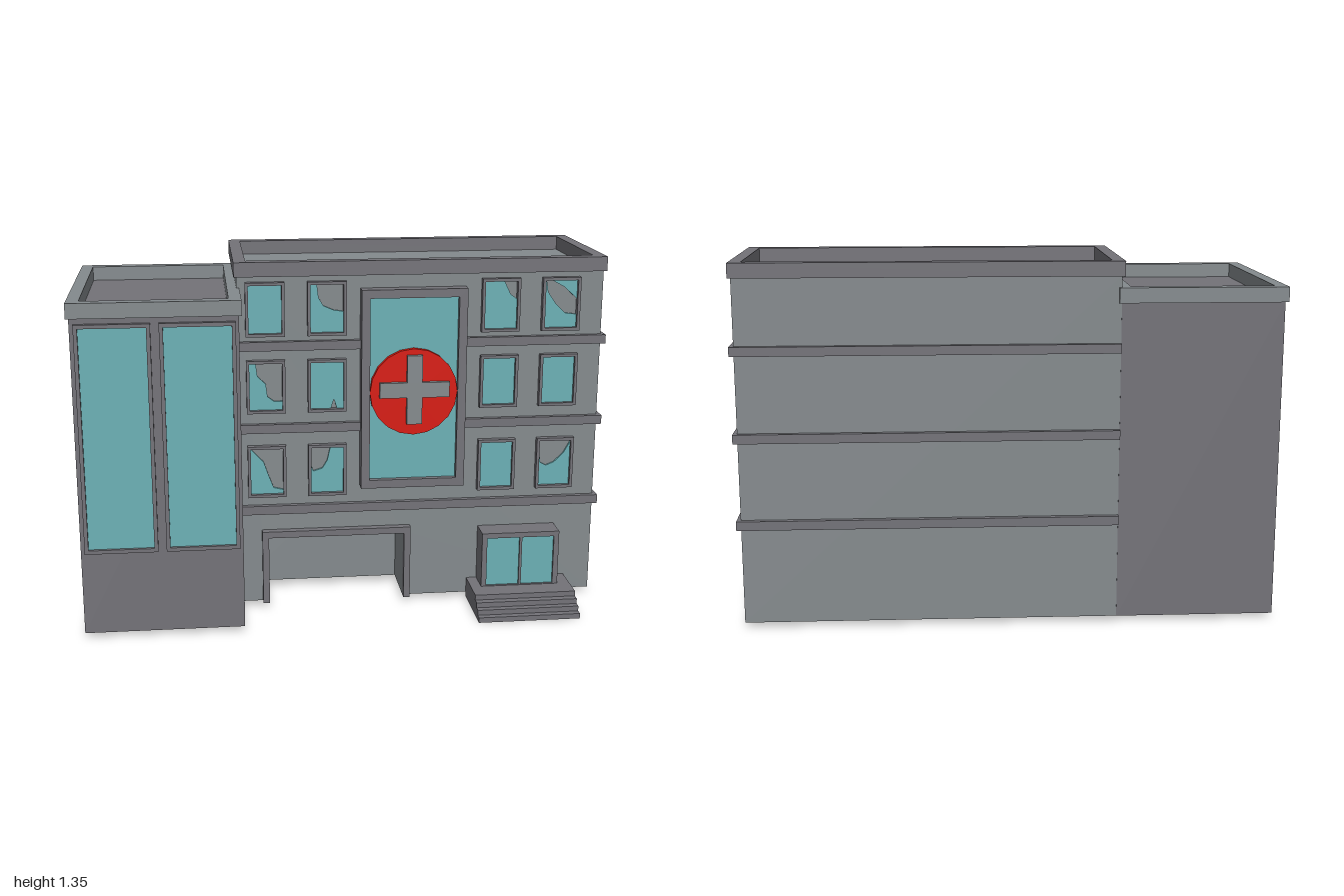
import * as THREE from 'three';

const mat = (color) => new THREE.MeshStandardMaterial({ color, flatShading: true });

export function createModel() {
  const model = new THREE.Group();
  model.name = 'clinicBuilding';
  const light = mat(0x848a8d), dark = mat(0x737278), glass = mat(0x6bb0b5), red = mat(0xd8170c);

  const add = (name, geometry, material, parent = model) => {
    const mesh = new THREE.Mesh(geometry, material);
    mesh.name = name;
    parent.add(mesh);
    return mesh;
  };
  // Box given by its lower and upper limits
  const box = (name, x0, x1, y0, y1, z0, z1, material, parent) =>
    add(name, new THREE.BoxGeometry(x1 - x0, y1 - y0, z1 - z0)
      .translate((x0 + x1) / 2, (y0 + y1) / 2, (z0 + z1) / 2), material, parent);
  const polygon = (pts) => new THREE.Shape(pts.map(([x, y]) => new THREE.Vector2(x, y)));
  const rect = (x0, x1, y0, y1) => polygon([[x0, y0], [x1, y0], [x1, y1], [x0, y1]]);
  const extrude = (shape, depth) => new THREE.ExtrudeGeometry(shape, { depth, bevelEnabled: false });
  // Upright rectangular frame with an open middle
  const frame = (name, x0, x1, y0, y1, z0, z1, t, material, parent) => {
    const shape = rect(x0, x1, y0, y1);
    shape.holes.push(rect(x0 + t, x1 - t, y0 + t, y1 - t));
    return add(name, extrude(shape, z1 - z0).translate(0, 0, z0), material, parent);
  };
  // Flat roof edge running around a sunken roof
  const parapet = (name, x0, x1, z0, z1, y0, y1, t, material) => {
    const shape = rect(x0, x1, -z1, -z0);
    shape.holes.push(rect(x0 + t, x1 - t, -z1 + t, -z0 - t));
    add(name, extrude(shape, y1 - y0).rotateX(-Math.PI / 2).translate(0, y0, 0), material);
  };

  // Main block: solid rear, front part with the garage bay cut out
  const front = 0.175, bayBack = -0.03;
  box('mainBlockRear', -0.4, 0.98, 0.02, 1.297, -0.41, bayBack, light);
  add('mainBlockFront', extrude(polygon([
    [-0.4, 0.02], [-0.295, 0.02], [-0.295, 0.287], [0.23, 0.287], [0.23, 0.02],
    [0.98, 0.02], [0.98, 1.297], [-0.4, 1.297],
  ]), front - bayBack).translate(0, 0, bayBack), light);
  parapet('mainParapet', -0.41, 0.99, -0.425, 0.187, 1.296, 1.35, 0.045, dark);
  for (const y of [0.38, 0.703, 1.02]) {
    box('floorBand', -0.4, 0.995, y, y + 0.034, -0.43, 0.195, dark);
  }

  // Side wing
  box('wing', -0.99, -0.4, 0.02, 1.201, -0.411, 0.414, dark);
  parapet('wingParapet', -1, -0.39, -0.426, 0.424, 1.2, 1.255, 0.045, light);
  for (const [x0, x1] of [[-0.975, -0.71], [-0.68, -0.412]]) {
    frame('wingWindowFrame', x0, x1, 0.335, 1.18, 0.412, 0.432, 0.014, dark);
    box('wingWindowGlass', x0 + 0.014, x1 - 0.014, 0.349, 1.166, 0.412, 0.42, glass);
  }

  // Small windows; broken panes are outlines in unit coordinates
  const whole = [[[0, 0], [1, 0], [1, 1], [0, 1]]];
  const panes = [
    [ // lowest row
      [[[0, 0], [1, 0], [1, 0.08], [0.7, 0.13], [0.55, 0.4], [0.4, 0.7], [0.05, 0.96], [0, 1]]],
      [[[0, 0], [1, 0], [1, 1], [0.6, 1], [0.5, 0.7], [0.35, 0.53], [0.07, 0.47], [0, 0.6]]],
      whole,
      [[[0, 0], [1, 0], [1, 0.95], [0.8, 0.7], [0.5, 0.5], [0.25, 0.43], [0.06, 0.5], [0, 1]]],
    ],
    [ // middle row
      [[[0, 0], [1, 0], [1, 0.18], [0.75, 0.18], [0.55, 0.28], [0.5, 0.55], [0.25, 0.72], [0.2, 1], [0, 1]]],
      [[[0, 0], [0.62, 0], [0.71, 0.2], [0.8, 0], [1, 0], [1, 1], [0, 1]]],
      whole,
      whole,
    ],
    [ // top row
      whole,
      [[[0, 0], [1, 0], [1, 0.43], [0.7, 0.46], [0.4, 0.55], [0.25, 0.72], [0.2, 1], [0, 1]]],
      [[[0, 0], [1, 0], [1, 0.62], [0.8, 0.72], [0.6, 1], [0, 1]]],
      [[[0, 0], [1, 0], [1, 0.27], [0.65, 0.3], [0.35, 0.5], [0.1, 0.75], [0.04, 1], [0, 1]],
        [[1, 0.6], [1, 1], [0.2, 1], [0.6, 0.85]]],
    ],
  ];
  const rim = 0.011, w = 0.145, h = 0.202;
  [0.45, 0.781, 1.074].forEach((y, row) => {
    [-0.37, -0.14, 0.515, 0.745].forEach((x, col) => {
      const window = new THREE.Group();
      window.name = 'window';
      window.position.set(x, y, front);
      model.add(window);
      frame('windowFrame', 0, w, 0, h, -0.002, 0.023, rim, dark, window);
      for (const outline of panes[row][col]) {
        const pts = outline.map(([u, v]) => [rim + u * (w - 2 * rim), rim + v * (h - 2 * rim)]);
        add('windowGlass', extrude(polygon(pts), 0.008), glass, window);
      }
    });
  });

  // Large central window with round sign and cross
  frame('centralFrame', 0.058, 0.455, 0.482, 1.247, 0.17, 0.226, 0.032, dark);
  box('centralGlass', 0.09, 0.423, 0.514, 1.215, 0.17, 0.203, glass);
  add('signDisc', new THREE.CylinderGeometry(0.166, 0.166, 0.02, 20)
    .rotateX(Math.PI / 2).translate(0.256, 0.857, 0.214), red);
  const a = 0.132, b = 0.029;
  add('signCross', extrude(polygon([
    [-b, -a], [b, -a], [b, -b], [a, -b], [a, b], [b, b],
    [b, a], [-b, a], [-b, b], [-a, b], [-a, -b], [-b, -b],
  ]), 0.022).translate(0.257, 0.868, 0.22), light);

  // Garage surround
  add('garageSurround', extrude(polygon([
    [-0.32, 0.02], [-0.295, 0.02], [-0.295, 0.287], [0.23, 0.287], [0.23, 0.02],
    [0.255, 0.02], [0.255, 0.312], [-0.32, 0.312],
  ]), 0.035).translate(0, 0, 0.17), dark);

  // Entrance porch with double doors and steps
  box('entranceBody', 0.53, 0.825, 0.08, 0.29, 0.17, 0.255, dark);
  frame('entranceFrame', 0.525, 0.828, 0.062, 0.297, 0.17, 0.272, 0.02, dark);
  for (const [x0, x1] of [[0.545, 0.673], [0.683, 0.808]]) {
    box('entranceGlass', x0, x1, 0.08, 0.277, 0.25, 0.262, glass);
  }
  box('entranceMullion', 0.673, 0.683, 0.08, 0.277, 0.25, 0.27, dark);
  [0.435, 0.41, 0.385, 0.357].forEach((z, i) => {
    box('step', 0.485, 0.877, i * 0.02, (i + 1) * 0.02, 0.175, z, dark);
  });

  return model;
}
